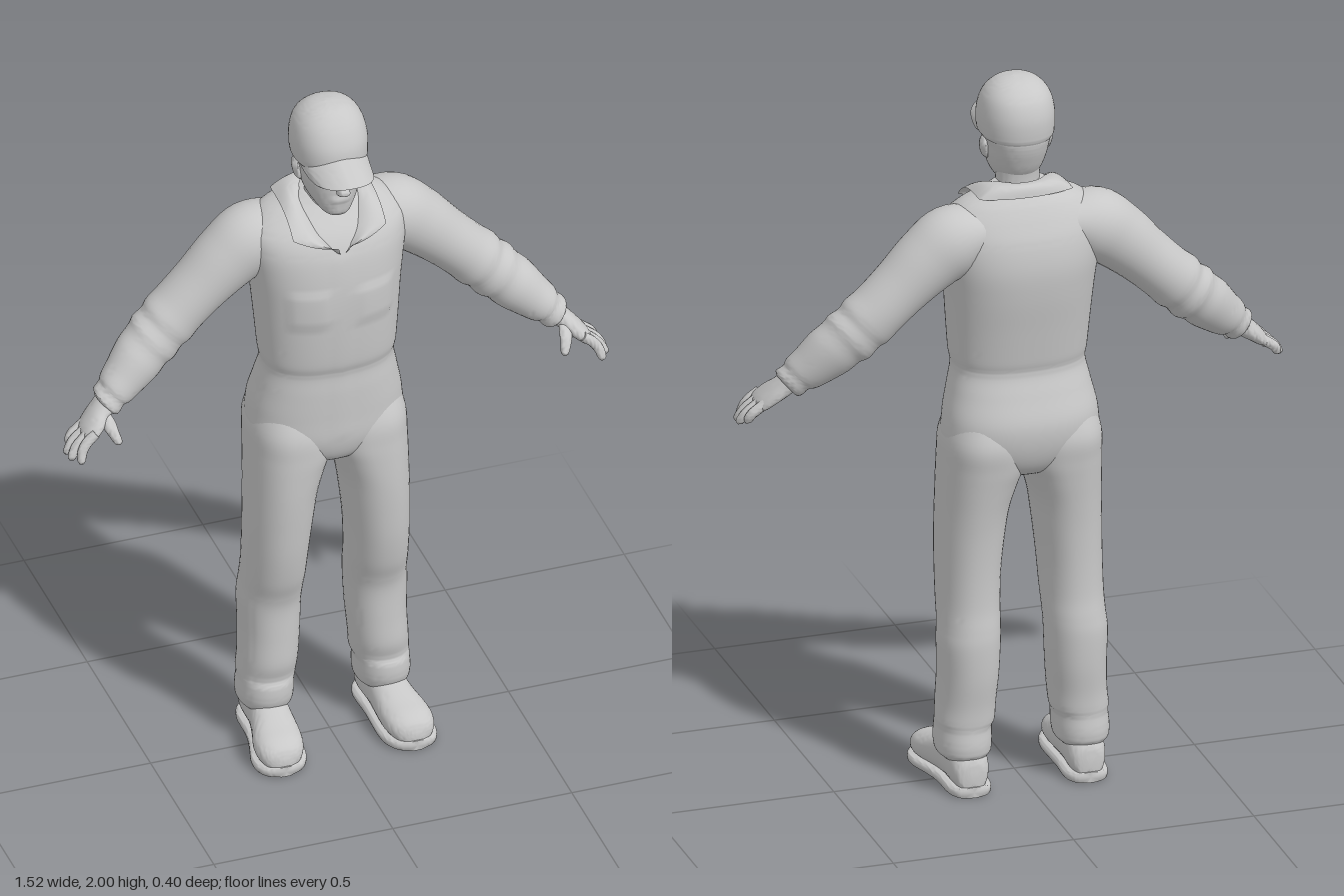
import * as THREE from 'three';
import { toCreasedNormals } from 'three/addons/utils/BufferGeometryUtils.js';

const X = new THREE.Vector3(1, 0, 0), Y = new THREE.Vector3(0, 1, 0), Z = new THREE.Vector3(0, 0, 1);

// Smooth skin over cross-sections [x, y, z, halfA, halfB, roundness].
// halfB runs along "side", halfA across it; "axis" fixes the ring direction.
function loft(rows, side, axis, warp, steps = 5, seg = 40) {
  const path = new THREE.CatmullRomCurve3(rows.map(r => new THREE.Vector3(r[0], r[1], r[2])), false, 'catmullrom', 0.5);
  const size = new THREE.CatmullRomCurve3(rows.map(r => new THREE.Vector3(r[3], r[4], r[5] ?? 2)), false, 'catmullrom', 0.5);
  const n = (rows.length - 1) * steps, pos = [], idx = [];
  for (let i = 0; i <= n; i++) {
    const c = path.getPoint(i / n), s = size.getPoint(i / n);
    const u = side.clone().cross(axis ?? path.getTangent(i / n)).normalize();
    for (let j = 0; j < seg; j++) {
      const a = j / seg * Math.PI * 2, e = 2 / s.z;
      const ca = Math.cos(a), sa = Math.sin(a);
      const p = c.clone()
        .addScaledVector(u, Math.sign(ca) * Math.abs(ca) ** e * Math.max(s.x, 0.001))
        .addScaledVector(side, Math.sign(sa) * Math.abs(sa) ** e * Math.max(s.y, 0.001));
      if (warp) warp(p);
      pos.push(p.x, p.y, p.z);
      if (i < n) {
        const k = (j + 1) % seg, q = i * seg;
        idx.push(q + j, q + k, q + seg + k, q + j, q + seg + k, q + seg + j);
      }
    }
  }
  // end caps
  for (const [row, base, flip] of [[rows[0], 0, true], [rows[rows.length - 1], n * seg, false]]) {
    const m = pos.length / 3;
    pos.push(row[0], row[1], row[2]);
    for (let j = 0; j < seg; j++) {
      const a = base + j, b = base + (j + 1) % seg;
      idx.push(m, flip ? b : a, flip ? a : b);
    }
  }
  return finish(pos, idx);
}

// Surface from a rule f(u, v) -> [x, y, z]
function sheet(f, nu, nv) {
  const pos = [], idx = [];
  for (let i = 0; i <= nu; i++) for (let j = 0; j <= nv; j++) {
    pos.push(...f(i / nu, j / nv));
    if (i < nu && j < nv) {
      const a = i * (nv + 1) + j, b = a + nv + 1;
      idx.push(a, b, b + 1, a, b + 1, a + 1);
    }
  }
  return finish(pos, idx);
}

function finish(pos, idx) {
  const g = new THREE.BufferGeometry();
  g.setAttribute('position', new THREE.Float32BufferAttribute(pos, 3));
  g.setIndex(idx);
  return toCreasedNormals(g, 1.0);
}

// Upright section from half-width, front z and back z
const ring = (y, w, front, back, n = 2.2, x = 0) => [x, y, (front + back) / 2, (front - back) / 2, w, n];
const bump = (v, a, b, soft) => THREE.MathUtils.smoothstep(v, a - soft, a) * (1 - THREE.MathUtils.smoothstep(v, b, b + soft));

export function createModel() {
  const model = new THREE.Group();
  const grey = new THREE.MeshStandardMaterial({ color: 0xc8c8c8, side: THREE.DoubleSide });
  grey.name = 'plain grey';
  const add = (name, geo, parent = model) => {
    const m = new THREE.Mesh(geo, grey);
    m.name = name;
    parent.add(m);
    return m;
  };

  // Overall torso with raised chest pockets and front placket
  add('torso', loft([
    ring(0.875, 0.05, 0.02, -0.08), ring(0.91, 0.13, 0.075, -0.15), ring(0.97, 0.205, 0.098, -0.185, 2.3),
    ring(1.05, 0.208, 0.1, -0.195, 2.4), ring(1.13, 0.192, 0.1, -0.172, 2.4), ring(1.19, 0.18, 0.098, -0.153, 2.4),
    ring(1.23, 0.185, 0.108, -0.16, 2.4), ring(1.32, 0.192, 0.115, -0.175, 2.4), ring(1.42, 0.2, 0.118, -0.192, 2.4),
    ring(1.5, 0.21, 0.113, -0.198, 2.4), ring(1.57, 0.22, 0.1, -0.188, 2.3), ring(1.62, 0.215, 0.075, -0.168),
    ring(1.665, 0.17, 0.035, -0.142), ring(1.69, 0.115, 0.015, -0.12), ring(1.71, 0.07, 0.005, -0.1),
  ], X, Y, p => {
    if (p.z < 0.03) return;
    const x = Math.abs(p.x);
    p.z += 0.006 * bump(x, 0.05, 0.135, 0.015) * bump(p.y, 1.37, 1.46, 0.012);
    p.z += 0.003 * bump(x, 0, 0.012, 0.008) * bump(p.y, 1.0, 1.56, 0.02);
  }, 6, 72));

  // Open collar
  add('collar', sheet((u, v) => {
    const a = 0.1 + u * (2 * Math.PI - 0.2), s = Math.sin(a), c = Math.cos(a), f = (1 + c) / 2;
    const inner = [0.07 * s, 1.72 - 0.14 * f ** 3, -0.035 + 0.06 * c + 0.082 * f ** 4];
    const outer = [0.13 * Math.sign(s) * Math.min(1, 1.6 * Math.abs(s)), 1.69 - 0.09 * f ** 4, -0.03 + 0.1 * c + 0.037 * f];
    const lift = 0.012 * Math.sin(Math.PI * v);
    return inner.map((k, i) => k + (outer[i] - k) * v + (i === 1 ? lift : i === 2 ? lift * c * 0.6 : 0));
  }, 64, 8));

  // Head
  add('neck', loft([ring(1.58, 0.062, 0.03, -0.09), ring(1.7, 0.058, 0.025, -0.08), ring(1.79, 0.062, 0.03, -0.09)], X, Y));
  add('head', loft([
    ring(1.685, 0.015, 0.07, 0.04), ring(1.694, 0.036, 0.085, 0.0), ring(1.715, 0.054, 0.091, -0.06),
    ring(1.745, 0.07, 0.092, -0.088), ring(1.785, 0.081, 0.094, -0.107), ring(1.815, 0.085, 0.09, -0.117),
    ring(1.84, 0.091, 0.098, -0.12), ring(1.9, 0.09, 0.09, -0.115),
  ], X, Y, p => {
    if (p.z < 0.04) return;
    const x = Math.abs(p.x);
    p.z -= 0.01 * bump(x, 0.026, 0.045, 0.014) * bump(p.y, 1.806, 1.822, 0.012); // eye sockets
    p.z += 0.005 * bump(x, 0, 0.02, 0.012) * bump(p.y, 1.737, 1.75, 0.006);      // lips
  }, 6, 56));
  add('nose', loft([[0, 1.83, 0.088, 0.008, 0.008], [0, 1.808, 0.1, 0.012, 0.01], [0, 1.787, 0.111, 0.02, 0.016],
    [0, 1.776, 0.108, 0.018, 0.018], [0, 1.768, 0.1, 0.004, 0.005]], X, Y, null, 4, 20));

  // Cap
  add('capCrown', loft([
    ring(1.835, 0.093, 0.095, -0.122), ring(1.85, 0.1, 0.108, -0.127), ring(1.9, 0.101, 0.104, -0.127),
    ring(1.945, 0.091, 0.082, -0.112), ring(1.975, 0.07, 0.055, -0.085), ring(1.992, 0.042, 0.028, -0.055), ring(2, 0.003, -0.01, -0.016),
  ], X, Y));
  add('capBrim', sheet((u, v) => {
    const a = (u - 0.5) * Math.PI * 0.96, s = Math.sin(a), c = Math.cos(a);
    const t = 1 - Math.abs(2 * v - 1), under = v > 0.5 ? 0.012 * Math.min(1, (1 - t) * 3 + 0.4) * (t < 1 ? 1 : 0) : 0;
    return [(0.092 - 0.008 * t) * s, 1.885 - 0.035 * t - 0.035 * s * s * (1 - 0.4 * t) - under,
      0.1 * c * (1 - t) + (0.05 + 0.15 * c ** 0.65) * t];
  }, 32, 16));

  for (const s of [1, -1]) {
    const side = s > 0 ? 'left' : 'right';
    const flip = rows => rows.map(([x, ...r]) => [s * x, ...r]);
    const limb = (name, rows, seg = 32, steps = 5) => add(side + name, loft(flip(rows), Z, null, null, steps, seg));

    // Ear
    add(side + 'Ear', loft(flip([[0.08, 1.77, -0.008, 0.008, 0.005], [0.086, 1.785, -0.01, 0.016, 0.01],
      [0.09, 1.815, -0.016, 0.021, 0.01], [0.088, 1.84, -0.016, 0.006, 0.005]]), X, Y, null, 4, 16));

    // Sleeve with soft elbow folds and cuff
    limb('Sleeve', [
      [0.1, 1.6, -0.072, 0.06, 0.08], [0.19, 1.572, -0.07, 0.096, 0.096], [0.26, 1.525, -0.068, 0.091, 0.09],
      [0.335, 1.457, -0.066, 0.08, 0.082], [0.395, 1.4, -0.064, 0.077, 0.079], [0.43, 1.367, -0.06, 0.08, 0.078],
      [0.45, 1.348, -0.057, 0.074, 0.074], [0.475, 1.325, -0.052, 0.079, 0.076], [0.495, 1.308, -0.046, 0.072, 0.071],
      [0.525, 1.28, -0.036, 0.072, 0.07], [0.565, 1.243, -0.022, 0.062, 0.062], [0.595, 1.218, -0.01, 0.054, 0.056],
      [0.607, 1.207, -0.006, 0.045, 0.05], [0.625, 1.19, 0.002, 0.046, 0.05], [0.632, 1.184, 0.004, 0.036, 0.04],
    ]);

    // Hand: palm, four fingers and thumb
    limb('Palm', [[0.605, 1.21, -0.004, 0.03, 0.036], [0.64, 1.178, 0.012, 0.027, 0.042], [0.665, 1.156, 0.027, 0.024, 0.052],
      [0.692, 1.131, 0.04, 0.019, 0.053], [0.705, 1.118, 0.045, 0.01, 0.044]], 24);
    for (let i = 0; i < 4; i++) {
      const z = 0.004 + i * 0.025, zt = 0.013 + i * 0.028, x = [0.735, 0.748, 0.745, 0.728][i], y = [1.092, 1.08, 1.078, 1.08][i];
      limb('Finger' + (i + 1), [[0.68, 1.145, z, 0.013, 0.013], [0.705, 1.125, z + 0.003, 0.014, 0.014],
        [(0.705 + x) / 2 + 0.004, (1.125 + y) / 2 + 0.002, (z + zt) / 2, 0.0135, 0.0135], [x, y, zt, 0.011, 0.011],
        [x + 0.004, y - 0.008, zt + 0.001, 0.002, 0.002]], 14, 4);
    }
    limb('Thumb', [[0.645, 1.178, 0.03, 0.014, 0.016], [0.638, 1.155, 0.062, 0.018, 0.02], [0.63, 1.133, 0.084, 0.014, 0.016],
      [0.623, 1.117, 0.095, 0.011, 0.012], [0.62, 1.109, 0.098, 0.002, 0.002]], 16, 4);

    // Trouser leg with knee break and gathered hem
    const leg = (y, inX, outX, front, back, n = 2.2) => ring(y, (outX - inX) / 2, front, back, n, (inX + outX) / 2);
    add(side + 'TrouserLeg', loft(flip([
      leg(0.095, 0.105, 0.222, 0.01, -0.135), leg(0.11, 0.092, 0.235, 0.025, -0.147), leg(0.14, 0.088, 0.238, 0.035, -0.15),
      leg(0.18, 0.087, 0.235, 0.034, -0.145), leg(0.2, 0.08, 0.236, 0.026, -0.147), leg(0.25, 0.076, 0.232, 0.037, -0.15),
      leg(0.33, 0.07, 0.229, 0.036, -0.16), leg(0.42, 0.066, 0.231, 0.036, -0.164), leg(0.47, 0.064, 0.227, 0.046, -0.16),
      leg(0.53, 0.062, 0.225, 0.067, -0.152), leg(0.62, 0.057, 0.224, 0.085, -0.15), leg(0.72, 0.046, 0.223, 0.095, -0.154),
      leg(0.8, 0.034, 0.221, 0.1, -0.162), leg(0.87, 0.014, 0.219, 0.101, -0.172, 2.3), leg(0.93, -0.005, 0.217, 0.1, -0.181, 2.4),
      leg(1.0, 0.0, 0.213, 0.094, -0.187, 2.4), leg(1.08, 0.02, 0.19, 0.06, -0.16),
    ]), X, Y, null, 5, 44));

    // Shoe: rows of z, centre x, half-width, upper height
    const last = [[-0.156, 0.162, 0.02, 0.07], [-0.147, 0.162, 0.042, 0.1], [-0.11, 0.162, 0.056, 0.13], [-0.03, 0.165, 0.056, 0.135],
      [0.03, 0.17, 0.062, 0.118], [0.09, 0.178, 0.07, 0.1], [0.135, 0.182, 0.066, 0.088], [0.165, 0.184, 0.048, 0.07], [0.178, 0.184, 0.018, 0.045]];
    add(side + 'ShoeUpper', loft(flip(last.map(([z, x, w, h]) => [x, h / 2 + 0.008, z * 0.98, h / 2 - 0.004, w * 0.95, 2.3])), X, Z, null, 5, 36));
    add(side + 'ShoeSole', loft(flip(last.map(([z, x, w]) => [x, 0.015, z, 0.015, w * 1.06, 5])), X, Z, null, 5, 36));
  }
  return model;
}
